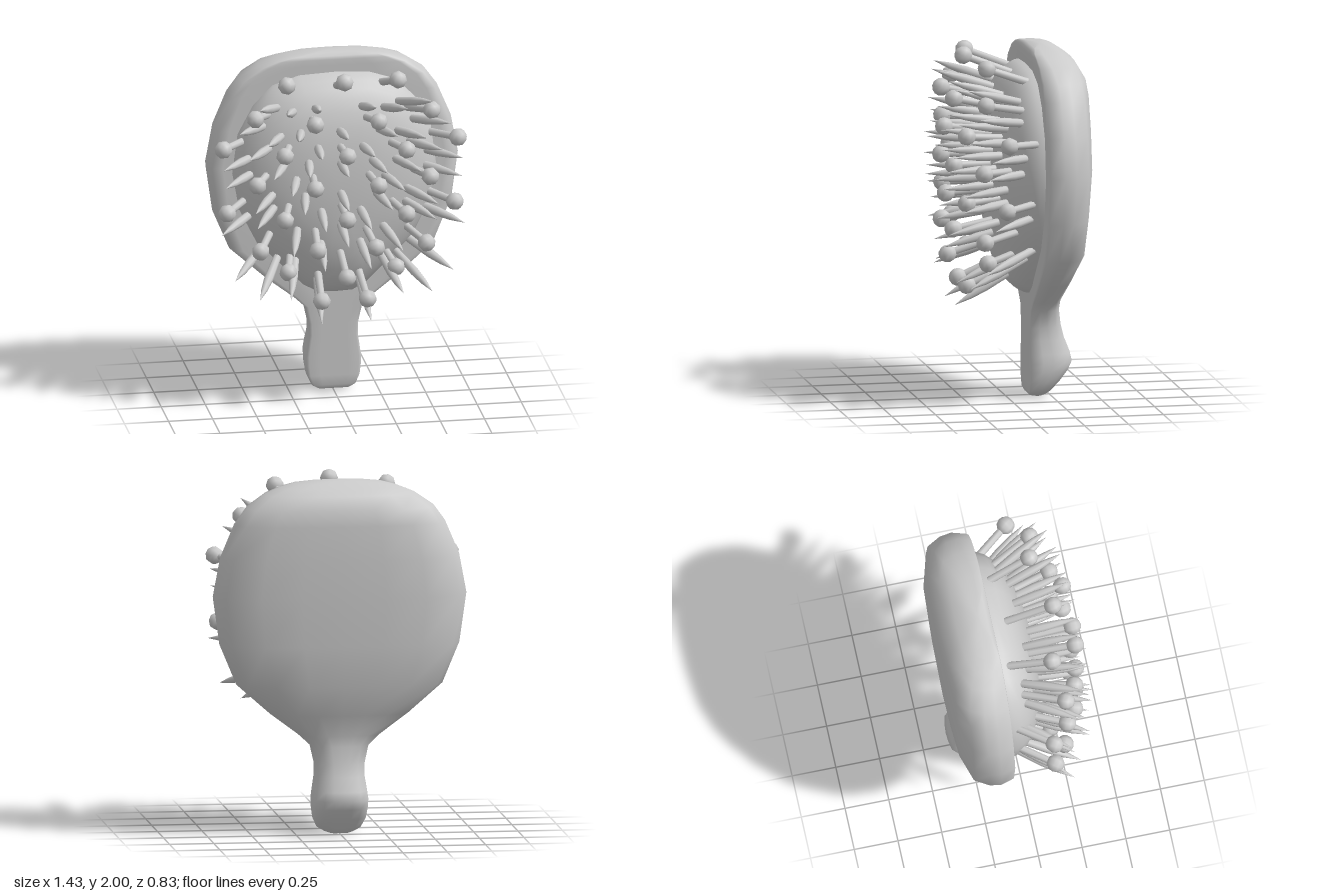
import * as THREE from 'three';
import { toCreasedNormals } from 'three/addons/utils/BufferGeometryUtils.js';

const grey = new THREE.MeshStandardMaterial({ color: 0xcccccc });

// Skin closed rings of equal length, closing both ends with a fan
function loft(rings, crease) {
  const n = rings[0].length, pos = [], idx = [];
  rings.forEach(r => r.forEach(p => pos.push(...p)));
  for (let j = 0; j < rings.length - 1; j++) {
    for (let i = 0; i < n; i++) {
      const a = j * n + i, b = j * n + (i + 1) % n;
      idx.push(a, b, b + n, a, b + n, a + n);
    }
  }
  [0, rings.length - 1].forEach(j => {
    const c = pos.length / 3;
    pos.push(...[0, 1, 2].map(k => rings[j].reduce((s, p) => s + p[k], 0) / n));
    for (let i = 0; i < n; i++) {
      const a = j * n + i, b = j * n + (i + 1) % n;
      if (j === 0) idx.push(c, b, a); else idx.push(c, a, b);
    }
  });
  const g = new THREE.BufferGeometry();
  g.setAttribute('position', new THREE.Float32BufferAttribute(pos, 3));
  g.setIndex(idx);
  return toCreasedNormals(g, crease);
}

// Paddle and handle: one section per height [y, half width, front z, back z]
function bodyGeometry() {
  const stations = [
    [0.0, 0.05, -0.165, -0.20], [0.012, 0.085, -0.125, -0.225], [0.035, 0.125, -0.115, -0.25],
    [0.09, 0.15, -0.115, -0.30], [0.15, 0.158, -0.115, -0.348], [0.2, 0.159, -0.115, -0.372],
    [0.25, 0.152, -0.115, -0.36], [0.33, 0.14, -0.115, -0.328], [0.4, 0.142, -0.115, -0.31],
    [0.5, 0.165, -0.115, -0.295], [0.56, 0.23, -0.115, -0.295], [0.68, 0.39, -0.115, -0.335],
    [0.85, 0.582, -0.115, -0.39], [1.08, 0.678, -0.115, -0.405], [1.35, 0.716, -0.115, -0.42],
    [1.57, 0.675, -0.115, -0.418], [1.76, 0.595, -0.115, -0.415], [1.85, 0.53, -0.115, -0.405],
    [1.925, 0.42, -0.115, -0.365], [1.96, 0.33, -0.115, -0.315], [1.98, 0.25, -0.118, -0.28],
    [1.993, 0.14, -0.14, -0.245], [2.0, 0.05, -0.175, -0.21],
  ];
  // Half section as [share of width, share of depth], front to back
  const half = [[0.5, 0], [0.88, 0], [0.965, 0.015], [1, 0.28], [0.985, 0.5], [0.92, 0.76], [0.65, 0.94], [0.33, 0.985]];
  const section = [[0, 0], ...half, [0, 1], ...half.map(([x, d]) => [-x, d]).reverse()];
  return loft(stations.map(([y, w, f, b]) =>
    section.map(([x, d]) => [x * w, y, f + (b - f) * d])), 1.7);
}

// Cushion: the pad outline shrunk towards its centre as it domes forward
function cushionGeometry() {
  const right = [[0.1, 0.595], [0.18, 0.64], [0.29, 0.75], [0.44, 0.9], [0.54, 1.1],
    [0.58, 1.32], [0.55, 1.55], [0.46, 1.72], [0.35, 1.83], [0.2, 1.88]];
  const outline = [[0, 0.59], ...right, [0, 1.89], ...right.map(([x, y]) => [-x, y]).reverse()];
  const rings = [];
  for (let j = 0; j <= 9; j++) {
    const t = (j / 9) * 1.5, s = Math.cos(t) ** 0.85;
    rings.push(outline.map(([x, y]) => [x * s, 1.25 + (y - 1.25) * s, -0.13 + 0.26 * Math.sin(t)]));
  }
  return loft(rings, 1.0);
}

// Ball centres [x, y, z] and spike points [x, y], mirrored when x is not 0
const ballTips = [[0, 1.945, 0.24], [0.315, 1.92, 0.17], [0.5, 1.745, 0.21], [0.18, 1.735, 0.33],
  [0.665, 1.54, 0.11], [0.345, 1.545, 0.29], [0, 1.545, 0.35], [0.49, 1.355, 0.22], [0.18, 1.355, 0.33],
  [0.645, 1.165, 0.12], [0.345, 1.165, 0.29], [0, 1.165, 0.34], [0.165, 0.99, 0.33],
  [0.47, 0.96, 0.21], [0, 0.82, 0.33], [0.305, 0.81, 0.16], [0.13, 0.66, 0.245]];
const spikeTips = [[0.16, 1.83], [0.34, 1.81], [0.49, 1.83], [0, 1.66], [0.28, 1.66], [0.45, 1.63],
  [0.6, 1.68], [0.15, 1.55], [0.55, 1.54], [0, 1.44], [0.22, 1.45], [0.42, 1.44], [0.68, 1.45],
  [0.32, 1.34], [0.67, 1.35], [0, 1.24], [0.52, 1.23], [0.25, 1.23], [0.13, 1.12], [0.51, 1.14],
  [0.69, 1.06], [0, 1.02], [0.31, 0.98], [0.13, 0.88], [0.62, 0.8], [0.49, 0.7], [0.32, 0.71], [0.14, 0.55]];

const shaftGeo = new THREE.CylinderGeometry(0.02, 0.023, 0.31, 8).translate(0, -0.155, 0);
const ballGeo = new THREE.SphereGeometry(0.051, 8, 6);
const spikeGeo = new THREE.LatheGeometry(
  [[0, -0.41], [0.022, -0.41], [0.026, -0.2], [0.018, -0.1], [0, 0]].map(p => new THREE.Vector2(...p)), 8);

function bristle(x, y, z, ball) {
  const g = new THREE.Group();
  g.name = ball ? 'ballBristle' : 'spikeBristle';
  const add = (geo, name) => {
    const m = new THREE.Mesh(geo, grey);
    m.name = name;
    g.add(m);
  };
  if (ball) {
    add(shaftGeo, 'bristleShaft');
    add(ballGeo, 'bristleBall');
  } else add(spikeGeo, 'bristleSpike');
  // Bristles fan outwards, more strongly towards the edge of the cushion
  g.position.set(x, y, z);
  const d = y - 1.32;
  const dir = new THREE.Vector3(0.35 * x + 1.2 * x * Math.abs(x), 0.4 * d + 0.4 * d * Math.abs(d), 1).normalize();
  g.quaternion.setFromUnitVectors(new THREE.Vector3(0, 1, 0), dir);
  return g;
}

export function createModel() {
  const model = new THREE.Group();
  model.name = 'hairbrush';

  const body = new THREE.Mesh(bodyGeometry(), grey);
  body.name = 'paddleAndHandle';
  const cushion = new THREE.Mesh(cushionGeometry(), grey);
  cushion.name = 'cushion';

  const bristles = new THREE.Group();
  bristles.name = 'bristles';
  const sides = x => (x ? [x, -x] : [0]);
  ballTips.forEach(([x, y, z]) => sides(x).forEach(px => bristles.add(bristle(px, y, z, true))));
  // Spike points lie on a shallow dome
  spikeTips.forEach(([x, y]) => {
    const z = 0.41 - 0.9 * x ** 4 - 0.16 * (y - 1.3) ** 2;
    sides(x).forEach(px => bristles.add(bristle(px, y, z, false)));
  });

  model.add(body, cushion, bristles);
  return model;
}
